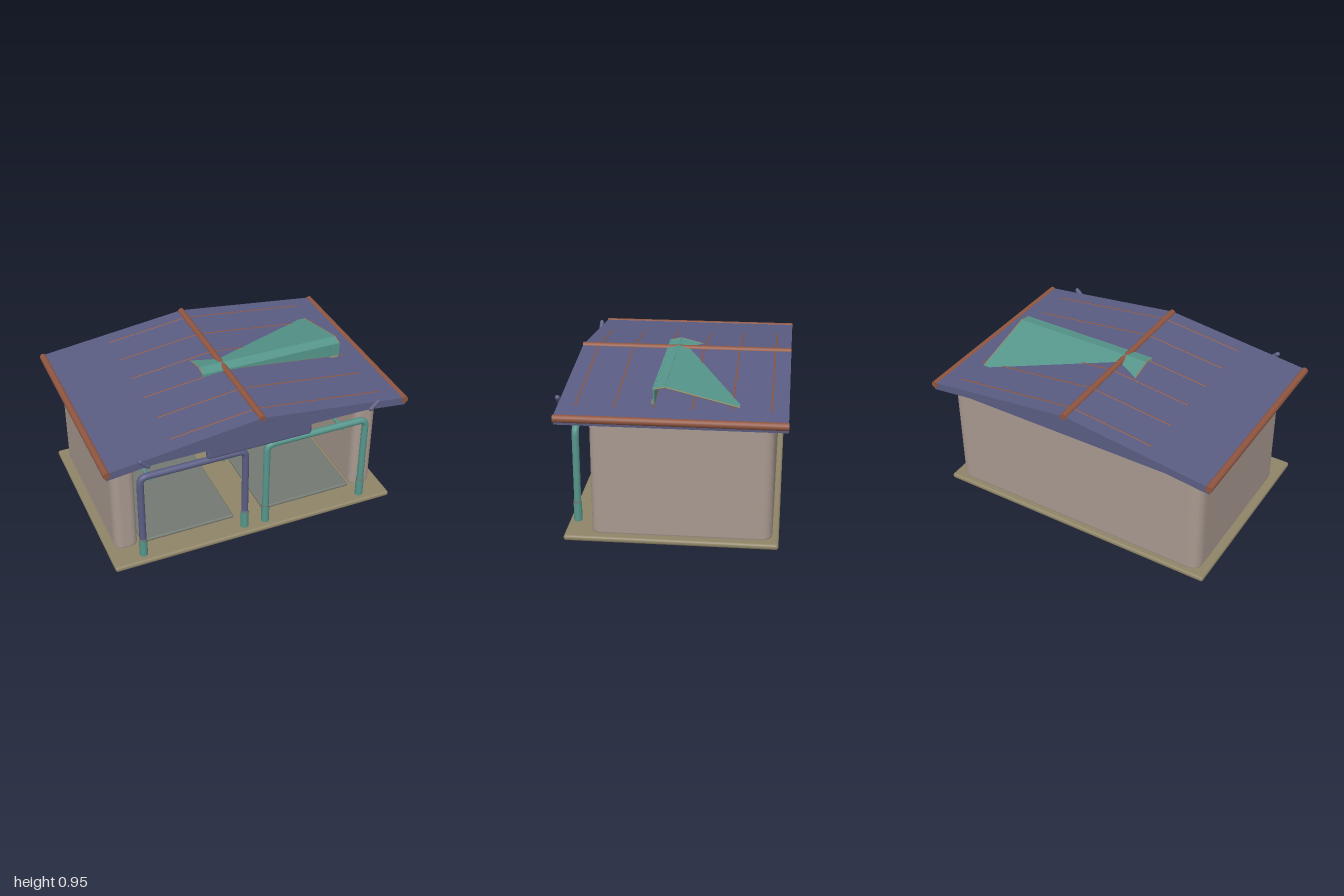
import * as THREE from 'three';
import { RoundedBoxGeometry } from 'three/addons/geometries/RoundedBoxGeometry.js';

const mat = (name, color) => {
  const m = new THREE.MeshStandardMaterial({ color });
  m.name = name;
  return m;
};

export function createModel() {
  const root = new THREE.Group();
  root.name = 'twinBayShelter';
  const blue = mat('slateBlue', 0x5a5d82);
  const teal = mat('teal', 0x56968b);
  const rust = mat('rustBrown', 0x8f5540);
  const plaster = mat('plaster', 0xa8998f);
  const khaki = mat('khaki', 0x8e8467);
  const grey = mat('matGrey', 0x737a72);
  const tealSheet = mat('tealSheet', 0x56968b);
  tealSheet.side = THREE.DoubleSide;

  const add = (name, geo, material, x = 0, y = 0, z = 0) => {
    const m = new THREE.Mesh(geo, material);
    m.name = name;
    m.position.set(x, y, z);
    root.add(m);
    return m;
  };
  const box = (name, material, w, h, d, x, y, z) =>
    add(name, new THREE.BoxGeometry(w, h, d), material, x, y, z);
  // Round bar between two points
  const bar = (name, material, r, a, b, sides = 14) => {
    const p = new THREE.Vector3(...a), q = new THREE.Vector3(...b);
    const m = add(name, new THREE.CylinderGeometry(r, r, p.distanceTo(q), sides), material);
    m.position.copy(p).add(q).multiplyScalar(0.5);
    m.quaternion.setFromUnitVectors(new THREE.Vector3(0, 1, 0), q.sub(p).normalize());
    return m;
  };
  // Outline in x/y extruded along z between z0 and z1
  const prism = (name, material, pts, z0, z1) => {
    const s = new THREE.Shape(pts.map(p => new THREE.Vector2(...p)));
    return add(name, new THREE.ExtrudeGeometry(s, { depth: z1 - z0, bevelEnabled: false }),
      material, 0, 0, z0);
  };

  // Ground slab
  add('baseSlab', new RoundedBoxGeometry(1.91, 0.036, 1.285, 3, 0.016), khaki, 0, 0.018, -0.007);

  // U-shaped wall, drawn in plan with shape y = -z
  const u = new THREE.Shape();
  u.moveTo(-0.9, -0.41);
  u.lineTo(-0.9, 0.53);
  u.quadraticCurveTo(-0.9, 0.61, -0.82, 0.61);
  u.lineTo(0.82, 0.61);
  u.quadraticCurveTo(0.9, 0.61, 0.9, 0.53);
  u.lineTo(0.9, -0.41);
  u.quadraticCurveTo(0.9, -0.475, 0.84, -0.475);
  u.lineTo(0.8, -0.475);
  u.quadraticCurveTo(0.75, -0.475, 0.75, -0.42);
  u.lineTo(0.75, 0.47);
  u.lineTo(-0.75, 0.47);
  u.lineTo(-0.75, -0.42);
  u.quadraticCurveTo(-0.75, -0.475, -0.8, -0.475);
  u.lineTo(-0.84, -0.475);
  u.quadraticCurveTo(-0.9, -0.475, -0.9, -0.41);
  const wallGeo = new THREE.ExtrudeGeometry(u, {
    depth: 0.69, bevelThickness: 0.02, bevelSize: 0.02, bevelOffset: -0.02,
    bevelSegments: 3, curveSegments: 8 });
  wallGeo.rotateX(-Math.PI / 2);
  add('walls', wallGeo, plaster, 0, 0.045, 0);

  // Roof slabs and gable infill
  const z0 = -0.685, z1 = 0.66;
  prism('roof', blue, [[-0.98, 0.76], [0, 0.875], [0.98, 0.76], [0.985, 0.81], [0, 0.93], [-0.985, 0.81]], z0, z1);
  prism('gableInfill', blue, [[-0.75, 0.787], [0.75, 0.787], [0, 0.876]], z0 + 0.006, z1 - 0.006);
  bar('ridgePole', rust, 0.022, [0, 0.924, z0], [0, 0.924, z1], 18);
  for (const s of [-1, 1])
    bar('eavePole', rust, 0.023, [s * 0.976, 0.797, z0 - 0.003], [s * 0.976, 0.797, z1 + 0.003], 18);

  // Slim roof ribs, almost sunk in the slabs
  const roofY = x => 0.93 - Math.abs(x) * 0.1218;
  for (let i = 0; i < 6; i++) {
    const z = 0.555 - i * 0.228;
    for (const x of [-0.55, 0.84])
      bar('roofRib', rust, 0.006, [0, roofY(0) - 0.003, z], [x, roofY(x) - 0.003, z], 8);
  }

  // Open-ended dormer cutting through the ridge
  const dx0 = -0.155, dx1 = 0.8, dw = dx1 - dx0, dc = (dx0 + dx1) / 2;
  const profile = [[0.1, 0.835], [0.1, 0.929], [0.035, 0.943], [-0.4, 0.835]];
  for (let i = 0; i < 3; i++) {
    const [za, ya] = profile[i], [zb, yb] = profile[i + 1];
    const len = Math.hypot(zb - za, yb - ya);
    const panel = box(i ? 'dormerRoof' : 'dormerFront', tealSheet, dw, 0.006, len, dc, (ya + yb) / 2, (za + zb) / 2);
    panel.rotation.x = Math.atan2(-(yb - ya), zb - za);
    // Edge trim at both open ends
    for (const x of [dx0, dx1])
      bar('dormerTrim', i ? khaki : teal, 0.005, [x, ya, za], [x, yb, zb], 8);
  }
  for (const x of [-0.12, 0.23, 0.49, 0.74])
    box('dormerMullion', teal, 0.012, 0.09, 0.008, x, 0.88, 0.104);
  box('dormerTopRail', teal, dw, 0.012, 0.01, dc, 0.928, 0.103);
  box('dormerFoot', khaki, 0.06, 0.008, 0.02, 0.76, 0.838, 0.108);

  // Front sign board, roof-edge clips, inner tie beam
  add('signBoard', new RoundedBoxGeometry(0.69, 0.1, 0.045, 4, 0.02), blue, 0, 0.75, 0.62);
  box('tieBeam', teal, 1.48, 0.026, 0.03, 0, 0.776, 0.42);
  for (const s of [-1, 1]) {
    const clip = add('roofClip', new THREE.CapsuleGeometry(0.015, 0.065, 4, 12), blue, s * 0.752, 0.826, 0.673);
    clip.rotation.z = -s * Math.PI / 4;
    box('beamBracket', grey, 0.06, 0.012, 0.05, s * 0.685, 0.752, 0.42);
  }

  // Two bays: arch, sleeves, mat, rods, hook and coil posts
  for (const s of [-1, 1]) {
    const outer = s * 0.755, inner = s * 0.072, zf = 0.58, top = 0.653, r = 0.05;
    const v = (x, y) => new THREE.Vector3(x, y, zf);
    const path = new THREE.CurvePath();
    path.add(new THREE.LineCurve3(v(outer, 0.06), v(outer, top - r)));
    path.add(new THREE.QuadraticBezierCurve3(v(outer, top - r), v(outer, top), v(outer - s * r, top)));
    path.add(new THREE.LineCurve3(v(outer - s * r, top), v(inner + s * r, top)));
    path.add(new THREE.QuadraticBezierCurve3(v(inner + s * r, top), v(inner, top), v(inner, top - r)));
    path.add(new THREE.LineCurve3(v(inner, top - r), v(inner, 0.06)));
    add('archFrame', new THREE.TubeGeometry(path, 140, 0.022, 14), s < 0 ? blue : teal);
    for (const x of [outer, inner]) {
      bar('legSleeve', teal, 0.026, [x, 0.045, zf], [x, 0.165, zf], 16);
      bar('sleeveCollar', grey, 0.0245, [x, 0.165, zf], [x, 0.178, zf], 16);
    }
    add('floorMat', new RoundedBoxGeometry(0.63, 0.024, 0.75, 3, 0.011), grey, s * 0.415, 0.044, 0.1);
    box('hookPlate', grey, 0.06, 0.008, 0.05, s * 0.41, 0.614, 0.537);
    for (const x of [0.17, 0.66])
      bar('hangingRod', teal, 0.011, [s * x, 0.53, -0.48], [s * x, 0.53, 0.476], 12);
    for (const x of [0.268, 0.557]) {
      bar('coilCore', teal, 0.033, [s * x, 0.04, -0.25], [s * x, 0.24, -0.25], 16);
      for (let i = 0; i < 6; i++) {
        const ring = add('coilRing', new THREE.TorusGeometry(0.032, 0.011, 8, 20), teal, s * x, 0.08 + i * 0.029, -0.25);
        ring.rotation.x = Math.PI / 2;
      }
    }
  }
  return root;
}
